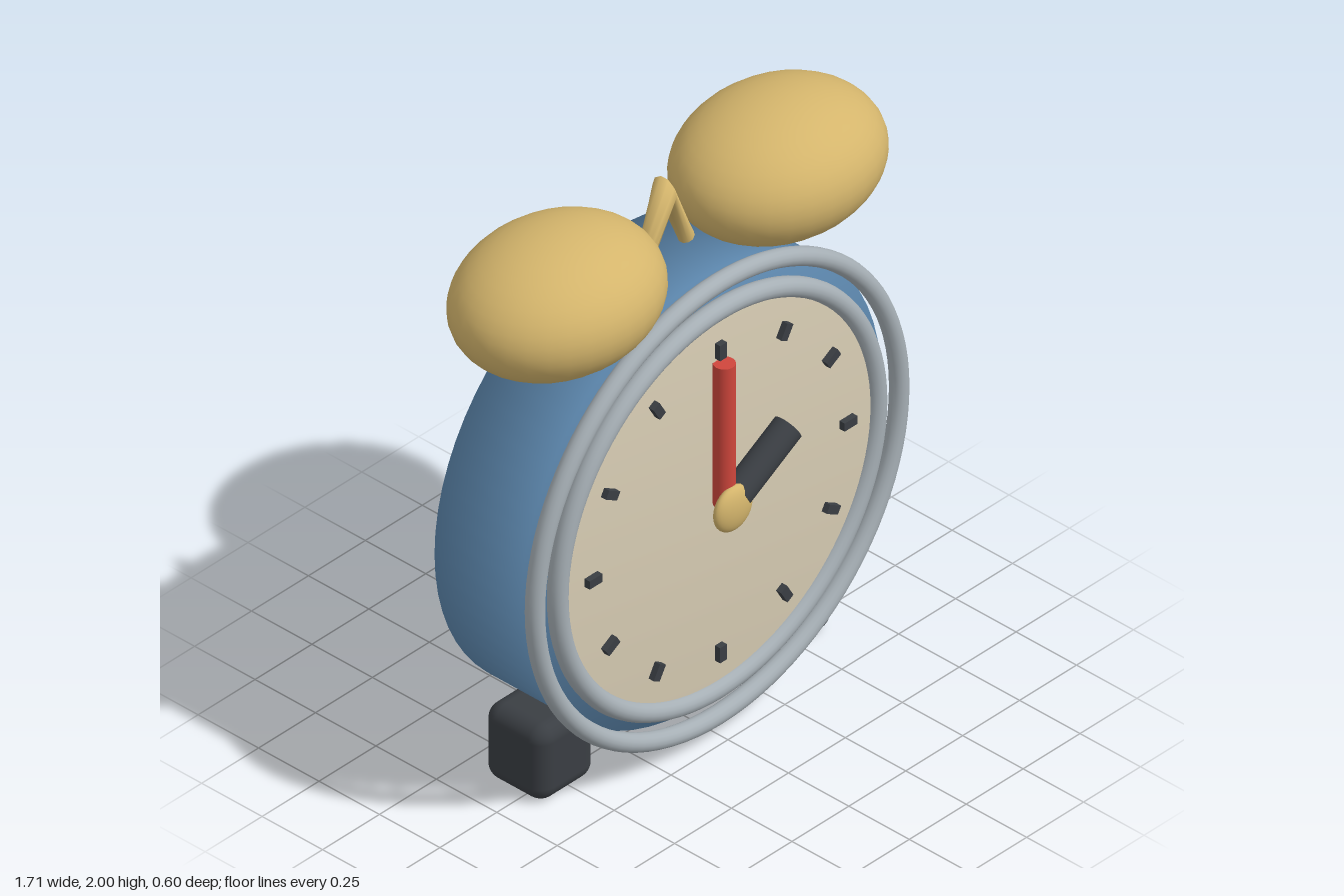
import * as THREE from 'three';
import { mergeVertices } from 'three/addons/utils/BufferGeometryUtils.js';
import { RoundedBoxGeometry } from 'three/addons/geometries/RoundedBoxGeometry.js';

const mat = (name, color) => {
  const m = new THREE.MeshStandardMaterial({ color });
  m.name = name;
  return m;
};

// Disc lying in the xy plane, shaded softly over its rim
function softDisc(radius, depth) {
  let g = new THREE.CylinderGeometry(radius, radius, depth, 64).rotateX(Math.PI / 2);
  g.deleteAttribute('uv');
  g.deleteAttribute('normal');
  g = mergeVertices(g);
  g.computeVertexNormals();
  return g;
}

export function createModel() {
  const blue = mat('bodyBlue', 0x5b85ab);
  const gold = mat('brass', 0xd4b56c);
  const cream = mat('dialCream', 0xd8cdb4);
  const steel = mat('steel', 0xa6afb5);
  const dark = mat('charcoal', 0x3a3e43);
  const red = mat('handRed', 0xcf463c);
  gold.side = THREE.DoubleSide;

  const clock = new THREE.Group();
  clock.name = 'alarmClock';
  const cy = 0.87;
  const add = (name, geometry, material, x, y, z) => {
    const mesh = new THREE.Mesh(geometry, material);
    mesh.name = name;
    mesh.position.set(x, y, z);
    clock.add(mesh);
    return mesh;
  };

  // Case, dial and the two bezel rings
  add('body', softDisc(0.79, 0.36), blue, 0, cy, -0.04);
  add('dial', softDisc(0.69, 0.035), cream, 0, cy, 0.193);
  add('outerRing', new THREE.TorusGeometry(0.8, 0.031, 16, 96), steel, 0, cy, 0.205);
  add('innerRing', new THREE.TorusGeometry(0.7, 0.033, 16, 96), steel, 0, cy, 0.205);

  // Hour marks
  const markGeo = new THREE.BoxGeometry(0.03, 0.056, 0.03);
  for (let i = 0; i < 12; i++) {
    const a = (i * Math.PI) / 6;
    const mark = add('hourMark', markGeo, dark, 0.56 * Math.sin(a), cy + 0.56 * Math.cos(a), 0.217);
    mark.rotation.z = -a;
  }

  // Hands pivot at their lower end
  add('minuteHand', new THREE.CylinderGeometry(0.035, 0.035, 0.52, 24).translate(0, 0.26, 0), red, 0, cy, 0.235);
  const hour = add('hourHand', new THREE.CylinderGeometry(0.05, 0.05, 0.26, 24).translate(0, 0.175, 0), dark, 0, cy, 0.25);
  hour.rotation.z = -Math.PI / 3;
  add('hub', new THREE.SphereGeometry(0.08, 32, 16), gold, 0, cy, 0.27).scale.z = 0.4;

  // Bells, their stems and the feet
  for (const s of [-1, 1]) {
    const bell = add('bell', new THREE.SphereGeometry(1, 32, 20), gold, s * 0.485, 1.78, 0);
    bell.scale.set(0.37, 0.222, 0.3);
    add('bellStem', new THREE.CylinderGeometry(0.035, 0.035, 0.12, 16), steel, s * 0.485, 1.59, 0);
    add('foot', new RoundedBoxGeometry(0.25, 0.275, 0.25, 4, 0.055), dark, s * 0.525, 0.1375, -0.035);
  }

  // Striker: bent rod that swells at the mitred apex
  const apex = new THREE.Vector3(0, 1.907, -0.012);
  const path = new THREE.CurvePath();
  const ends = [-1, 1].map((s) => new THREE.Vector3(s * 0.095, 1.69, -0.012));
  path.add(new THREE.LineCurve3(ends[0], apex));
  path.add(new THREE.LineCurve3(apex, ends[1]));
  const rod = new THREE.TubeGeometry(path, 2, 0.027, 10, false);
  const p = rod.attributes.position;
  const v = new THREE.Vector3();
  for (let i = 11; i < 22; i++) {
    v.fromBufferAttribute(p, i).sub(apex).multiplyScalar(1.85).add(apex);
    p.setXYZ(i, v.x, v.y, v.z);
  }
  add('striker', rod, gold, 0, 0, 0);
  ends.forEach((e) => {
    const cap = add('strikerEnd', new THREE.CircleGeometry(0.027, 10), gold, e.x, e.y, e.z);
    cap.lookAt(e.clone().multiplyScalar(2).sub(apex));
  });

  return clock;
}
